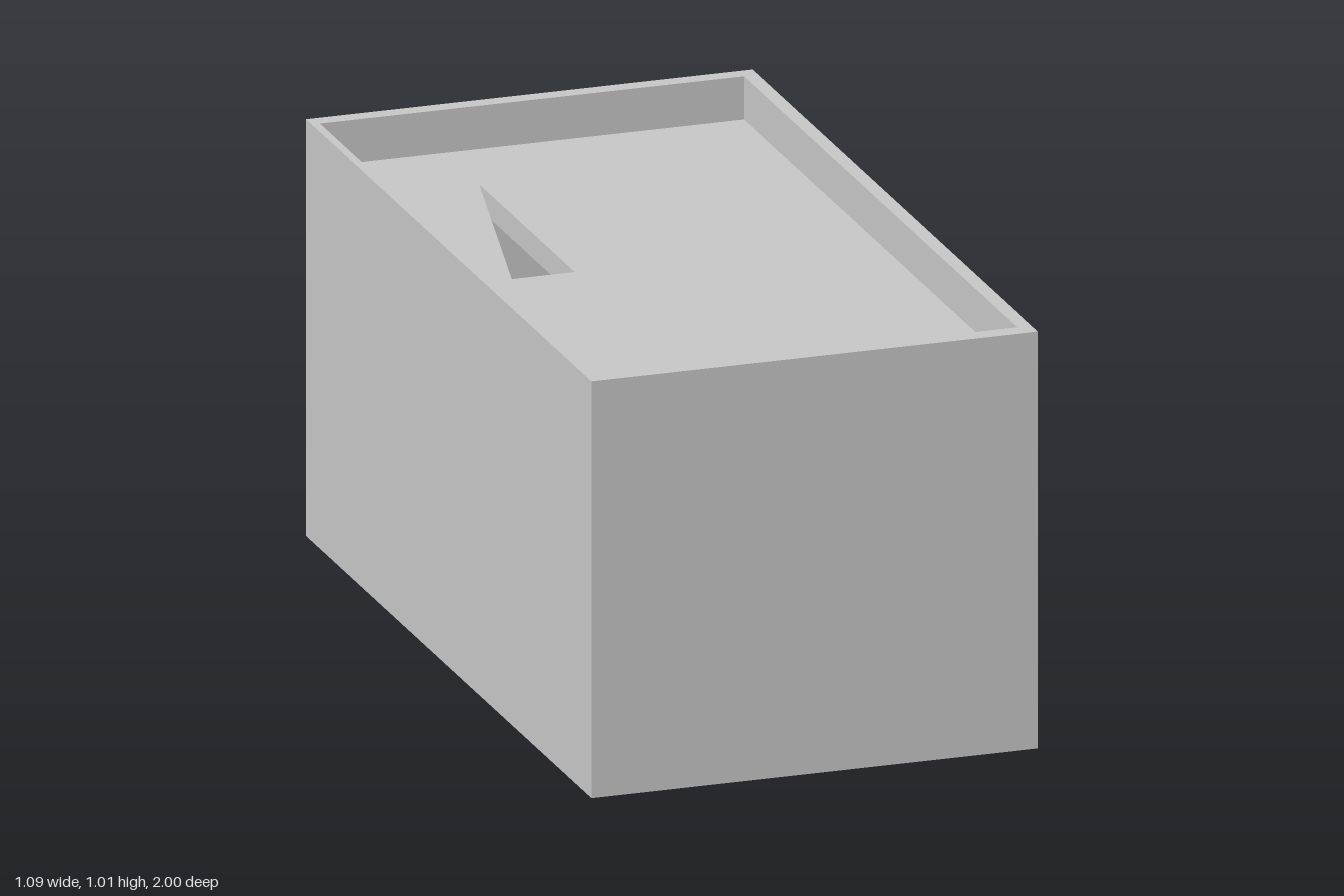
import * as THREE from 'three';

export function createModel() {
  const concrete = new THREE.MeshStandardMaterial({ color: 0xc6c6c6 });
  concrete.name = 'concrete grey';
  const model = new THREE.Group();
  model.name = 'building';

  // Outer and inner faces of the walls, and the storey heights
  const X = 0.545, Z = 1, H = 1.015, base = 0.001;
  const inner = { left: -0.525, right: 0.51, back: -0.96, front: 0.955 };
  const midX = (inner.left + inner.right) / 2, midZ = (inner.back + inner.front) / 2;
  const roomW = inner.right - inner.left, roomD = inner.front - inner.back;
  const roofY = 0.91, upperY = 0.475, groundY = 0.01, slab = 0.06;

  function add(name, geometry) {
    const mesh = new THREE.Mesh(geometry, concrete);
    mesh.name = name;
    model.add(mesh);
    return mesh;
  }
  function box(name, x0, x1, y0, y1, z0, z1) {
    const g = new THREE.BoxGeometry(x1 - x0, y1 - y0, z1 - z0);
    return add(name, g.translate((x0 + x1) / 2, (y0 + y1) / 2, (z0 + z1) / 2));
  }
  function polygon(points, Kind = THREE.Shape) {
    return new Kind(points.map(([x, y]) => new THREE.Vector2(x, y)));
  }
  const rect = (a, b, c, d) => [[a, c], [b, c], [b, d], [a, d]];
  const extrude = (shape, depth) => new THREE.ExtrudeGeometry(shape, { depth, bevelEnabled: false });

  // Mitre the wall ends: pull vertices on the inner face in to the room corners
  function mitre(mesh, axis, innerValue, along, lo, hi) {
    const p = mesh.geometry.attributes.position;
    const get = { x: 'getX', z: 'getZ' }, set = { x: 'setX', z: 'setZ' };
    for (let i = 0; i < p.count; i++) {
      if (Math.abs(p[get[axis]](i) - innerValue) < 1e-4) {
        p[set[along]](i, THREE.MathUtils.clamp(p[get[along]](i), lo, hi));
      }
    }
    mesh.geometry.computeVertexNormals();
  }

  // Plain walls, rising past the roof as a parapet
  mitre(box('frontWall', -X, X, base, H, inner.front, Z), 'z', inner.front, 'x', inner.left, inner.right);
  mitre(box('backWall', -X, X, base, H, -Z, inner.back), 'z', inner.back, 'x', inner.left, inner.right);
  mitre(box('rightWall', -X, inner.left, base, H, -Z, Z), 'x', inner.left, 'z', inner.back, inner.front);

  // Wall with the doorway and two long windows, drawn in (-z, y)
  const door = { near: 0.665, far: 0.83, top: 0.285 };
  const windows = [[-0.685, -0.01], [0.15, 0.815]];
  const sill = 0.58, lintel = 0.73;
  const face = polygon([
    [-Z, base], [door.near, base], [door.near, door.top], [door.far, door.top],
    [door.far, base], [Z, base], [Z, H], [-Z, H],
  ]);
  for (const [a, b] of windows) face.holes.push(polygon(rect(a, b, sill, lintel), THREE.Path));
  const wallGeometry = extrude(face, X - inner.right).rotateY(Math.PI / 2).translate(inner.right, 0, 0);
  mitre(add('windowWall', wallGeometry), 'x', inner.right, 'z', inner.back, inner.front);

  // Recessed window panels and door threshold
  for (const [a, b] of windows) box('windowPanel', inner.right, X - 0.02, sill, lintel, -b, -a);
  box('doorThreshold', inner.right, X, base, groundY, -door.far, -door.near);

  // Underside and floors
  add('underside', new THREE.PlaneGeometry(2 * X, 2 * Z).rotateX(Math.PI / 2));
  box('groundFloor', inner.left, inner.right, base, groundY, inner.back, inner.front);
  box('upperFloor', inner.left, inner.right, upperY - slab, upperY, inner.back, inner.front);

  // Roof slab with the stair opening, drawn in (x, -z)
  const opening = { x0: -0.52, x1: -0.22, back: 0.72, front: 0.05 };
  const roof = polygon(rect(midX - roomW / 2, midX + roomW / 2, -midZ - roomD / 2, -midZ + roomD / 2));
  roof.holes.push(polygon(rect(opening.x0, opening.x1, opening.front, opening.back), THREE.Path));
  add('roof', extrude(roof, slab).rotateX(-Math.PI / 2).translate(0, roofY - slab, 0));

  // Ramp from the upper floor to the roof, drawn in (-z, y)
  const ramp = polygon([[0.09, upperY], [opening.back, upperY], [opening.back, roofY]]);
  add('ramp', extrude(ramp, opening.x1 - opening.x0).rotateY(Math.PI / 2).translate(opening.x0, 0, 0));

  return model;
}
